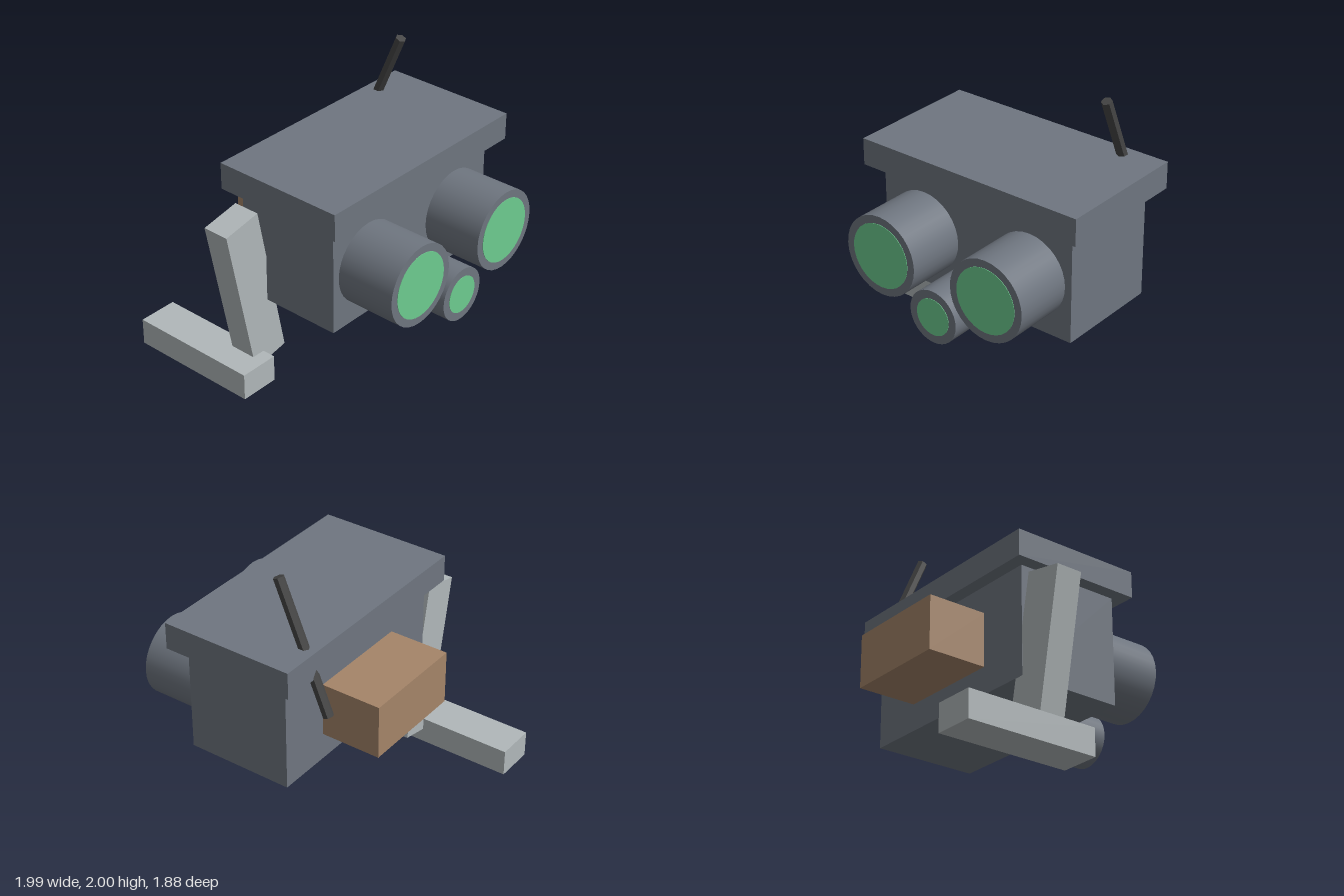
import * as THREE from 'three';

const mat = (name, color) => {
  const m = new THREE.MeshStandardMaterial({ color });
  m.name = name;
  return m;
};

export function createModel() {
  const model = new THREE.Group();
  const slate = mat('slate', 0x6f7680);
  const green = mat('lensGreen', 0x6ecd90);
  const tan = mat('tan', 0xa58569);
  const pale = mat('paleGrey', 0xb1b8ba);
  const dark = mat('charcoal', 0x454545);

  const add = (name, geometry, material, x, y, z) => {
    const mesh = new THREE.Mesh(geometry, material);
    mesh.name = name;
    mesh.position.set(x, y, z);
    model.add(mesh);
    return mesh;
  };
  // Box given by its lower and upper corners
  const box = (name, material, a, b) => add(name,
    new THREE.BoxGeometry(b[0] - a[0], b[1] - a[1], b[2] - a[2]), material,
    (a[0] + b[0]) / 2, (a[1] + b[1]) / 2, (a[2] + b[2]) / 2);

  // Housing, overhanging roof and rear pack
  box('body', slate, [-0.645, 0.58, -0.27], [0.895, 1.356, 0.503]);
  box('roof', slate, [-0.74, 1.355, -0.365], [0.99, 1.545, 0.6]);
  box('rearPack', tan, [-0.26, 0.775, -0.705], [0.51, 1.16, -0.265]);

  // Barrels with flat lenses on their front ends
  const barrels = [
    ['rightEye', -0.308, 0.968, 0.285, 0.23],
    ['leftEye', 0.56, 0.968, 0.285, 0.23],
    ['lowerEye', 0.127, 0.68, 0.19, 0.132],
  ];
  for (const [name, x, y, radius, lensRadius] of barrels) {
    const barrel = new THREE.CylinderGeometry(radius, radius, 0.478, 32).rotateX(Math.PI / 2);
    add(name + 'Barrel', barrel, slate, x, y, 0.694);
    const lens = new THREE.CylinderGeometry(lensRadius, lensRadius, 0.006, 32).rotateX(Math.PI / 2);
    add(name + 'Lens', lens, green, x, y, 0.933);
  }

  // Leaning leg and long foot on the right side
  const leg = add('leg', new THREE.BoxGeometry(0.288, 1.152, 0.193), pale, -0.744, 0.682, -0.172);
  leg.rotation.z = 0.197;
  box('foot', pale, [-0.98, 0, -0.945], [-0.695, 0.193, 0.02]);

  // Six-sided aerial, tilted forward through the roof
  const aerialGeometry = new THREE.CylinderGeometry(0.037, 0.037, 0.958, 6).toNonIndexed();
  aerialGeometry.computeVertexNormals();
  const aerial = add('aerial', aerialGeometry, dark, 0.702, 1.544, -0.271);
  aerial.rotation.x = 0.4;

  return model;
}
